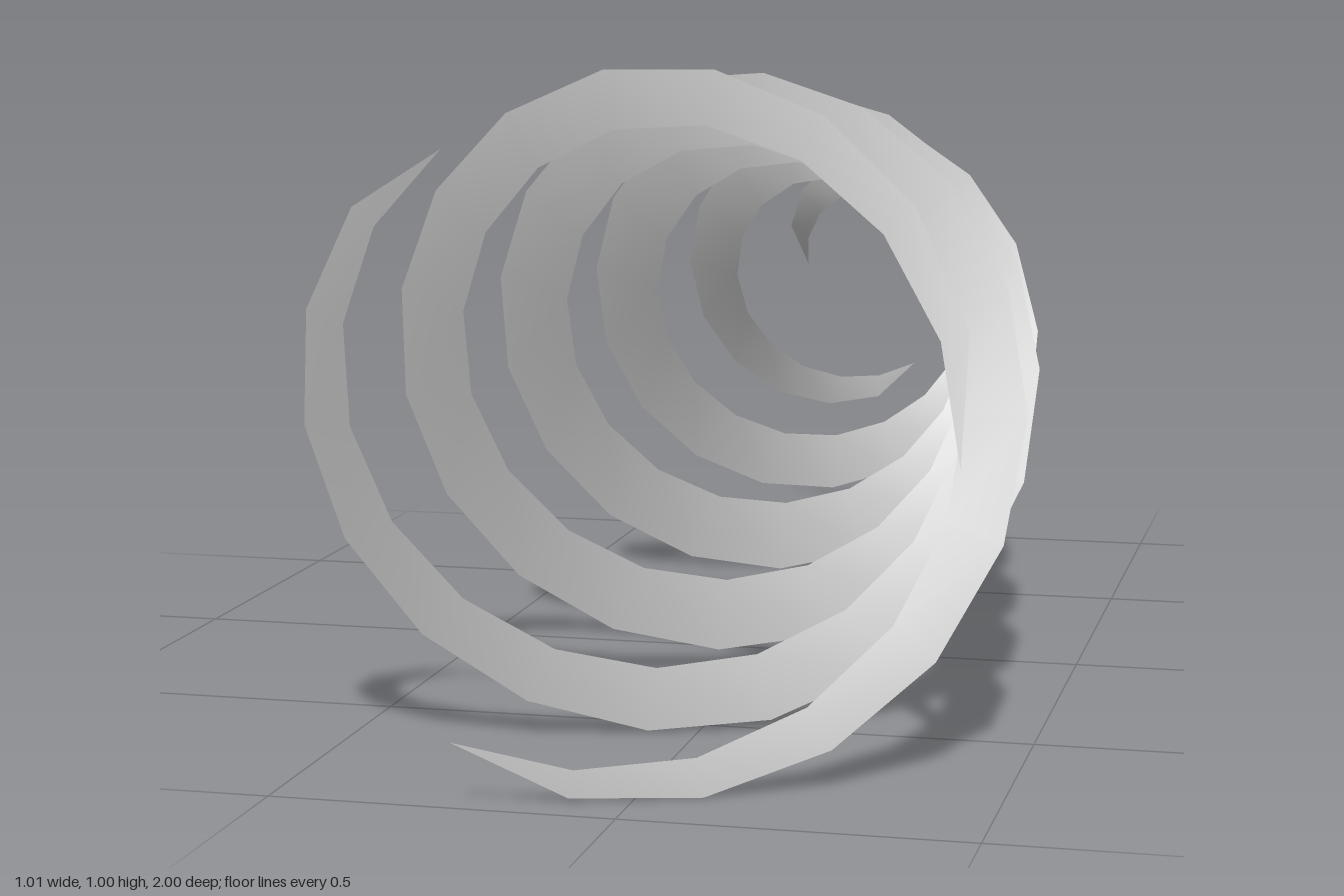
import * as THREE from 'three';

const STRANDS = 3;
const STEPS = 32;
const TURNS = 1.8;
const LENGTH = 2;

// One helical ribbon: flat across the radius, pointed at both ends
function ribbonGeometry() {
  const positions = [];
  const index = [];
  for (let i = 0; i <= STEPS; i++) {
    const t = i / STEPS;
    const angle = t * TURNS * Math.PI * 2;
    const inner = 0.468 - 0.303 * t;
    const outer = inner + 0.236 * Math.sqrt(t * (1 - t));
    const z = LENGTH / 2 - LENGTH * t;
    for (const r of [inner, outer]) {
      positions.push(r * Math.cos(angle), r * Math.sin(angle), z);
    }
    if (i < STEPS) {
      const a = 2 * i;
      index.push(a, a + 1, a + 3, a, a + 3, a + 2);
    }
  }
  const geometry = new THREE.BufferGeometry();
  geometry.setAttribute('position', new THREE.Float32BufferAttribute(positions, 3));
  geometry.setIndex(index);
  geometry.computeVertexNormals();
  return geometry;
}

export function createModel() {
  const model = new THREE.Group();
  model.name = 'tripleSpiral';

  const grey = new THREE.MeshStandardMaterial({ color: 0xcccccc, side: THREE.DoubleSide });
  grey.name = 'light grey';

  // Three equal ribbons spaced evenly about the long axis
  const geometry = ribbonGeometry();
  for (let k = 0; k < STRANDS; k++) {
    const ribbon = new THREE.Mesh(geometry, grey);
    ribbon.name = `spiralRibbon${k + 1}`;
    ribbon.rotation.z = (k * Math.PI * 2) / STRANDS;
    ribbon.position.y = 0.5;
    model.add(ribbon);
  }
  return model;
}
